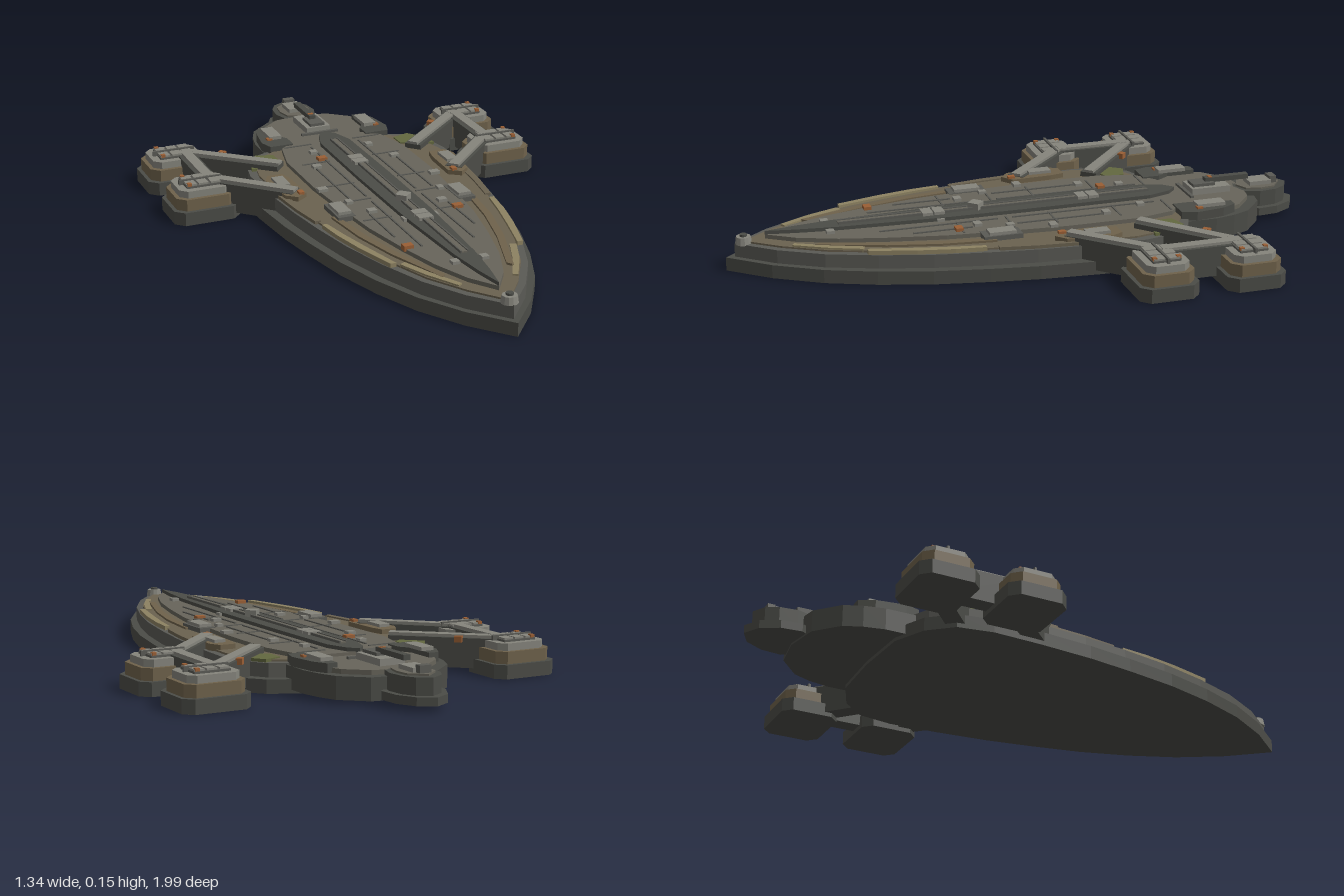
import * as THREE from 'three';

const mat = (color) => new THREE.MeshStandardMaterial({ color, flatShading: true, side: THREE.DoubleSide });
const M = {
  dark: mat(0x4b4c47), deck: mat(0x67645a), brown: mat(0x6b6250), tan: mat(0x8d8262),
  olive: mat(0x63683f), light: mat(0x85847c), mid: mat(0x5a5a55), rust: mat(0x9a5f35),
  podBrown: mat(0x6f624b),
};

export function createModel() {
  const root = new THREE.Group();

  const add = (name, geo, m) => {
    const mesh = new THREE.Mesh(geo, M[m]);
    mesh.name = name;
    root.add(mesh);
    return mesh;
  };
  // Flat plate: outline given as [x, z], raised from y0 to y1
  const plate = (name, pts, y0, y1, m) => {
    const shape = new THREE.Shape(pts.map(([x, z]) => new THREE.Vector2(x, -z)));
    const geo = new THREE.ExtrudeGeometry(shape, { depth: y1 - y0, bevelEnabled: false });
    geo.rotateX(-Math.PI / 2).translate(0, y0, 0);
    return add(name, geo, m);
  };
  // Full outline from its +x half, listed front to back
  const mirror = (half) => [...half, ...half.filter((p) => p[0] > 0).reverse().map(([x, z]) => [-x, z])];
  const octagon = (cx, cz, w, d, c) => [
    [w, d - c], [w - c, d], [c - w, d], [-w, d - c], [-w, c - d], [c - w, -d], [w - c, -d], [w, c - d],
  ].map(([x, z]) => [cx + x, cz + z]);
  const box = (name, x, z, w, d, y0, y1, m, turn = 0) => {
    const b = add(name, new THREE.BoxGeometry(w, y1 - y0, d), m);
    b.position.set(x, (y0 + y1) / 2, z);
    b.rotation.y = turn;
    return b;
  };
  // Bar between two plan points
  const bar = (name, a, b, w, y0, y1, m) => box(name, (a[0] + b[0]) / 2, (a[1] + b[1]) / 2, w,
    Math.hypot(b[0] - a[0], b[1] - a[1]), y0, y1, m, Math.atan2(b[0] - a[0], b[1] - a[1]));

  // Stepped main hull
  plate('lowerHull', mirror([[0, 0.99], [0.11, 0.86], [0.2, 0.71], [0.265, 0.55], [0.315, 0.38], [0.35, 0.2],
    [0.375, 0.04], [0.392, -0.15], [0.4, -0.32], [0.38, -0.44], [0.31, -0.52], [0.2, -0.57], [0, -0.58]]), 0, 0.045, 'dark');
  plate('upperHull', mirror([[0, 0.96], [0.1, 0.84], [0.18, 0.7], [0.24, 0.54], [0.288, 0.37], [0.32, 0.2],
    [0.343, 0.04], [0.36, -0.15], [0.365, -0.32], [0.345, -0.42], [0.29, -0.495], [0.19, -0.54], [0, -0.55]]), 0.045, 0.09, 'mid');
  plate('sideDeck', mirror([[0, 0.93], [0.085, 0.82], [0.16, 0.69], [0.218, 0.53], [0.265, 0.36], [0.297, 0.2],
    [0.32, 0.04], [0.335, -0.15], [0.34, -0.3], [0.32, -0.4], [0.27, -0.47], [0.18, -0.52], [0, -0.53]]), 0.09, 0.096, 'brown');
  plate('mainDeck', mirror([[0, 0.86], [0.06, 0.77], [0.11, 0.64], [0.15, 0.48], [0.185, 0.3], [0.205, 0.1],
    [0.22, -0.1], [0.22, -0.35], [0.19, -0.48], [0.12, -0.54], [0, -0.55]]), 0.09, 0.11, 'deck');

  // Aft hull and tail
  plate('aftHull', mirror([[0, -0.48], [0.24, -0.5], [0.24, -0.62], [0.225, -0.69], [0.2, -0.75], [0.12, -0.82], [0, -0.84]]), 0.012, 0.085, 'dark');
  plate('aftDeck', mirror([[0, -0.5], [0.2, -0.52], [0.205, -0.66], [0.17, -0.73], [0.1, -0.79], [0, -0.81]]), 0.085, 0.1, 'deck');
  plate('tailBase', mirror([[0, -0.78], [0.07, -0.8], [0.095, -0.84], [0.088, -0.91], [0.055, -0.97], [0, -1]]), 0.018, 0.045, 'dark');
  plate('tailBlock', mirror([[0, -0.78], [0.06, -0.8], [0.075, -0.85], [0.068, -0.91], [0.045, -0.95], [0, -0.975]]), 0.04, 0.1, 'dark');
  plate('tailDeck', mirror([[0, -0.79], [0.045, -0.81], [0.056, -0.86], [0.05, -0.91], [0, -0.95]]), 0.1, 0.106, 'deck');
  box('tailHouse', 0, -0.87, 0.06, 0.08, 0.106, 0.12, 'light');
  box('tailVent', 0, -0.92, 0.04, 0.025, 0.106, 0.13, 'mid');

  // Central spine
  plate('spine', mirror([[0, 0.86], [0.018, 0.76], [0.035, 0.62], [0.055, 0.25], [0.058, -0.1], [0.055, -0.45],
    [0.03, -0.53], [0, -0.56]]), 0.11, 0.122, 'dark');
  for (const s of [-1, 1]) box('spineRail', s * 0.012, 0.08, 0.005, 1.08, 0.122, 0.13, 'mid');
  box('spineStrip', 0, 0.08, 0.018, 1.08, 0.122, 0.127, 'deck');
  for (const z of [-0.26, -0.22, 0.28, 0.32]) box('spineHatch', 0, z, 0.05, 0.035, 0.122, 0.132, 'light');
  box('spineBeacon', 0, 0.15, 0.04, 0.04, 0.122, 0.145, 'light', Math.PI / 4);

  // Bow mast
  const ring = add('bowRing', new THREE.CylinderGeometry(0.024, 0.028, 0.025, 12), 'light');
  ring.position.set(0, 0.1, 0.93);
  const cap = add('bowCap', new THREE.CylinderGeometry(0.012, 0.012, 0.008, 12), 'dark');
  cap.position.set(0, 0.116, 0.93);

  // Aft house and long barrel
  box('aftHouse', 0, -0.68, 0.09, 0.14, 0.1, 0.122, 'light');
  box('aftHouseRoof', 0, -0.66, 0.055, 0.08, 0.122, 0.132, 'mid');
  box('aftBarrel', 0, -0.75, 0.024, 0.16, 0.128, 0.145, 'dark');
  box('aftLamp', 0, -0.69, 0.02, 0.012, 0.132, 0.147, 'rust');
  box('aftStep', 0, -0.6, 0.14, 0.012, 0.1, 0.108, 'mid');

  for (const s of [-1, 1]) {
    const side = (pts) => pts.map(([x, z]) => [s * x, z]);
    // Shoulder blocks beside the aft house
    plate('shoulder', side([[0.14, -0.5], [0.225, -0.5], [0.24, -0.55], [0.225, -0.65], [0.2, -0.7], [0.165, -0.7], [0.165, -0.6], [0.14, -0.56]]), 0.08, 0.115, 'dark');
    box('shoulderHatch', s * 0.182, -0.615, 0.045, 0.1, 0.115, 0.127, 'light');
    box('shoulderLamp', s * 0.205, -0.57, 0.02, 0.02, 0.115, 0.121, 'rust');

    // Painted strips following the hull edge
    plate('edgeStripe', side([[0.307, 0.2], [0.295, 0.3], [0.27, 0.42], [0.228, 0.57], [0.208, 0.57], [0.245, 0.42], [0.272, 0.3], [0.29, 0.2]]), 0.075, 0.104, 'tan');
    plate('bowStripe', side([[0.2, 0.58], [0.16, 0.68], [0.1, 0.79], [0.085, 0.78], [0.14, 0.67], [0.18, 0.57]]), 0.09, 0.102, 'tan');
    plate('innerStripe', side([[0.255, 0.15], [0.235, 0.33], [0.195, 0.5], [0.12, 0.72], [0.105, 0.7], [0.17, 0.5], [0.21, 0.33], [0.235, 0.15]]), 0.09, 0.103, 'podBrown');
    plate('sidePanel', side([[0.35, -0.12], [0.335, 0.04], [0.315, 0.16], [0.295, 0.16], [0.312, 0.04], [0.325, -0.12]]), 0.09, 0.101, 'brown');
    plate('aftPatch', side([[0.23, -0.4], [0.23, -0.46], [0.29, -0.48], [0.335, -0.42], [0.345, -0.36], [0.3, -0.36]]), 0.09, 0.1, 'olive');

    // Outrigger pods, stacked in three tiers
    for (const z of [-0.59, -0.295]) {
      const x = s * 0.555;
      plate('podBase', octagon(x, z, 0.115, 0.1, 0.03), 0, 0.046, 'dark');
      plate('podMiddle', octagon(x, z, 0.102, 0.086, 0.028), 0.046, 0.086, 'podBrown');
      plate('podTop', octagon(x, z, 0.088, 0.072, 0.024), 0.086, 0.11, 'light');
      box('podRoof', x, z, 0.12, 0.095, 0.11, 0.117, 'mid');
      for (const i of [-1, 0, 1]) for (const j of [-1, 1])
        box('podHatch', x + i * 0.042, z + j * 0.025, 0.034, 0.038, 0.117, 0.123, 'light');
      box('podRib', x, z, 0.15, 0.008, 0.11, 0.127, 'mid');
      for (const j of [-1, 1]) box('podLamp', x + s * 0.05, z + j * 0.04, 0.014, 0.014, 0.117, 0.127, 'rust');
    }

    // Diagonal struts, with a link joining the two pods
    const struts = [
      [[0.53, -0.585], [0.25, -0.335]],
      [[0.52, -0.31], [0.29, -0.08]],
      [[0.52, -0.57], [0.52, -0.31]],
    ];
    struts.forEach((ends, i) => {
      const [a, b] = side(ends);
      const y = i * 0.001;
      bar('strut', a, b, 0.06, 0.015, 0.113 + y, 'dark');
      bar('strutTop', a, b, 0.036, 0.113 + y, 0.122 + y, 'light');
    });
    box('strutLamp', s * 0.4, -0.515, 0.025, 0.02, 0.1, 0.12, 'rust', s * 0.8);

    // Strut footings on the deck
    plate('strutFoot', side([[0.275, -0.25], [0.33, -0.25], [0.35, -0.21], [0.335, -0.06], [0.3, -0.03], [0.26, -0.06], [0.265, -0.2]]), 0.09, 0.112, 'podBrown');
    box('footHatch', s * 0.31, -0.17, 0.04, 0.08, 0.112, 0.122, 'light');
    box('footLamp', s * 0.28, -0.06, 0.018, 0.025, 0.11, 0.12, 'rust');

    // Deck houses, hatches and seam ribs
    box('deckHouse', s * 0.215, 0.125, 0.045, 0.09, 0.096, 0.122, 'light');
    box('deckHouseBase', s * 0.215, 0.125, 0.06, 0.13, 0.096, 0.112, 'mid');
    for (const [x, z, w] of [[0.105, -0.395, 0.025], [0.145, -0.26, 0.03], [0.205, -0.055, 0.035],
      [0.165, 0.08, 0.022], [0.125, 0.18, 0.03], [0.05, 0.285, 0.025], [0.05, 0.655, 0.025]])
      box('deckHatch', s * x, z, w, 0.026, 0.11, 0.12, 'light');
    for (const [x, z, d] of [[0.09, -0.2, 0.5], [0.09, 0.3, 0.4], [0.15, -0.1, 0.3], [0.14, 0.3, 0.2]])
      box('deckSeam', s * x, z, 0.006, d, 0.11, 0.114, 'mid');
    for (const z of [-0.48, -0.3, -0.08, 0.07, 0.24])
      box('deckRib', s * 0.13, z, 0.1, 0.006, 0.11, 0.113, 'mid');
  }

  // Odd coloured hatches
  for (const [x, z] of [[-0.1, -0.325], [0.15, 0.25], [-0.135, 0.49]])
    box('rustHatch', x, z, 0.032, 0.025, 0.103, 0.121, 'rust');

  return root;
}
